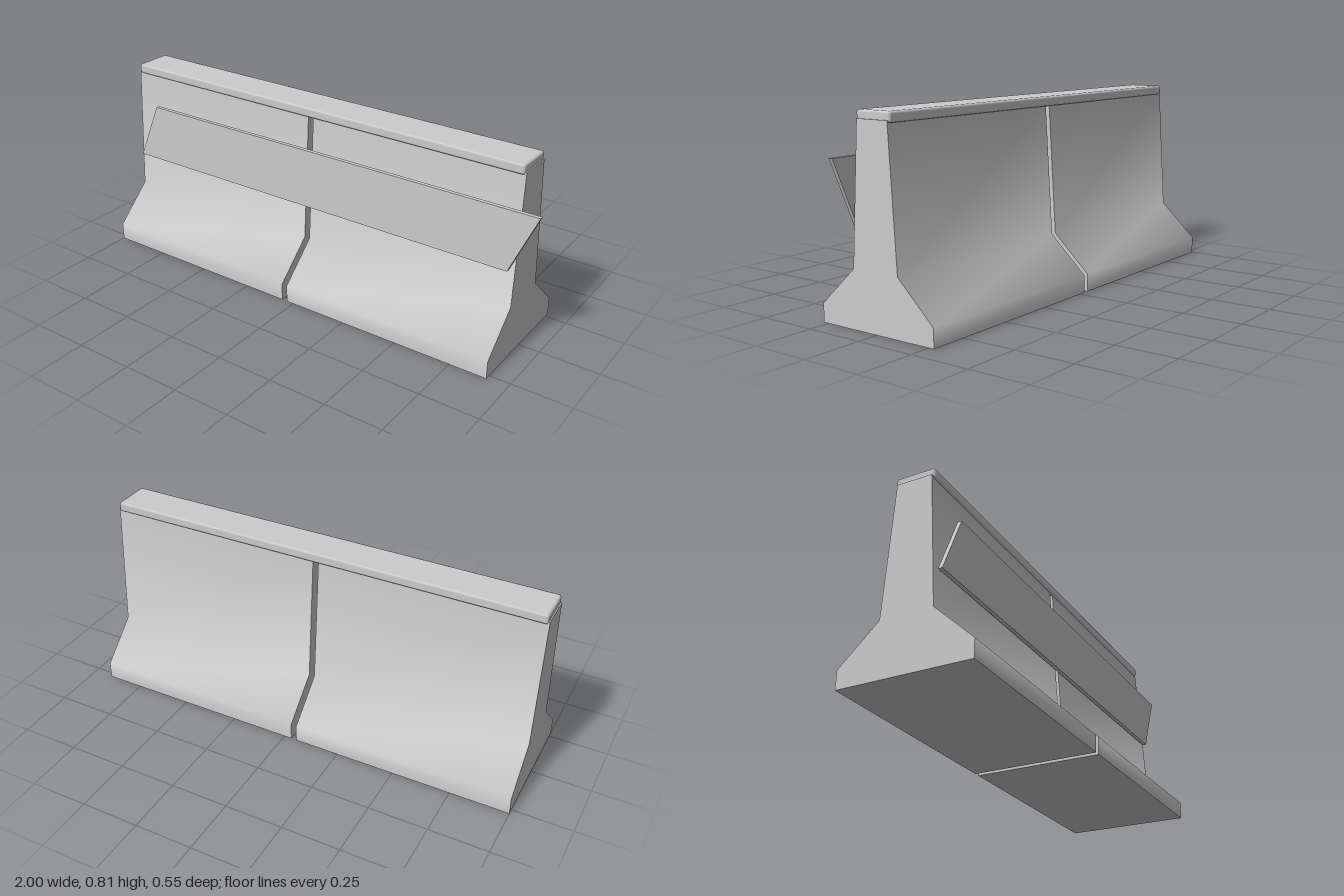
import * as THREE from 'three';
import { toCreasedNormals } from 'three/addons/utils/BufferGeometryUtils.js';
import { RoundedBoxGeometry } from 'three/addons/geometries/RoundedBoxGeometry.js';

const material = new THREE.MeshStandardMaterial({ color: 0xcccccc });

function addMesh(group, name, geometry) {
  const mesh = new THREE.Mesh(geometry, material);
  mesh.name = name;
  group.add(mesh);
  return mesh;
}

const shapeFrom = (points) => new THREE.Shape(points.map(([x, y]) => new THREE.Vector2(x, y)));

export function createModel() {
  const group = new THREE.Group();
  group.name = 'roadBarrier';

  // Barrier blocks: one mirrored profile (half depth, height) run along x
  const half = [[0.274, 0], [0.274, 0.075], [0.109, 0.23], [0.074, 0.778]];
  const profile = shapeFrom([...half, ...half.map(([z, y]) => [-z, y]).reverse()]);
  const length = 0.943;
  const block = toCreasedNormals(
    new THREE.ExtrudeGeometry(profile, { depth: length, bevelEnabled: false }).rotateY(Math.PI / 2),
    1.0
  );
  addMesh(group, 'rightBarrierBlock', block).position.x = -1;
  addMesh(group, 'leftBarrierBlock', block).position.x = 0.91 - length;

  // Chamfered top rail joining both blocks
  const rail = addMesh(group, 'topRail', new RoundedBoxGeometry(1.9, 0.042, 0.165, 1, 0.01));
  rail.position.set(-0.045, 0.789, 0);

  // Slanted front panel
  const panelShape = shapeFrom([[-0.98, 0.387], [0.888, 0.387], [1, 0.642], [-0.868, 0.642]]);
  const panel = new THREE.ExtrudeGeometry(panelShape, { depth: 0.017, bevelEnabled: false });
  addMesh(group, 'frontPanel', panel).position.z = 0.107;

  return group;
}
